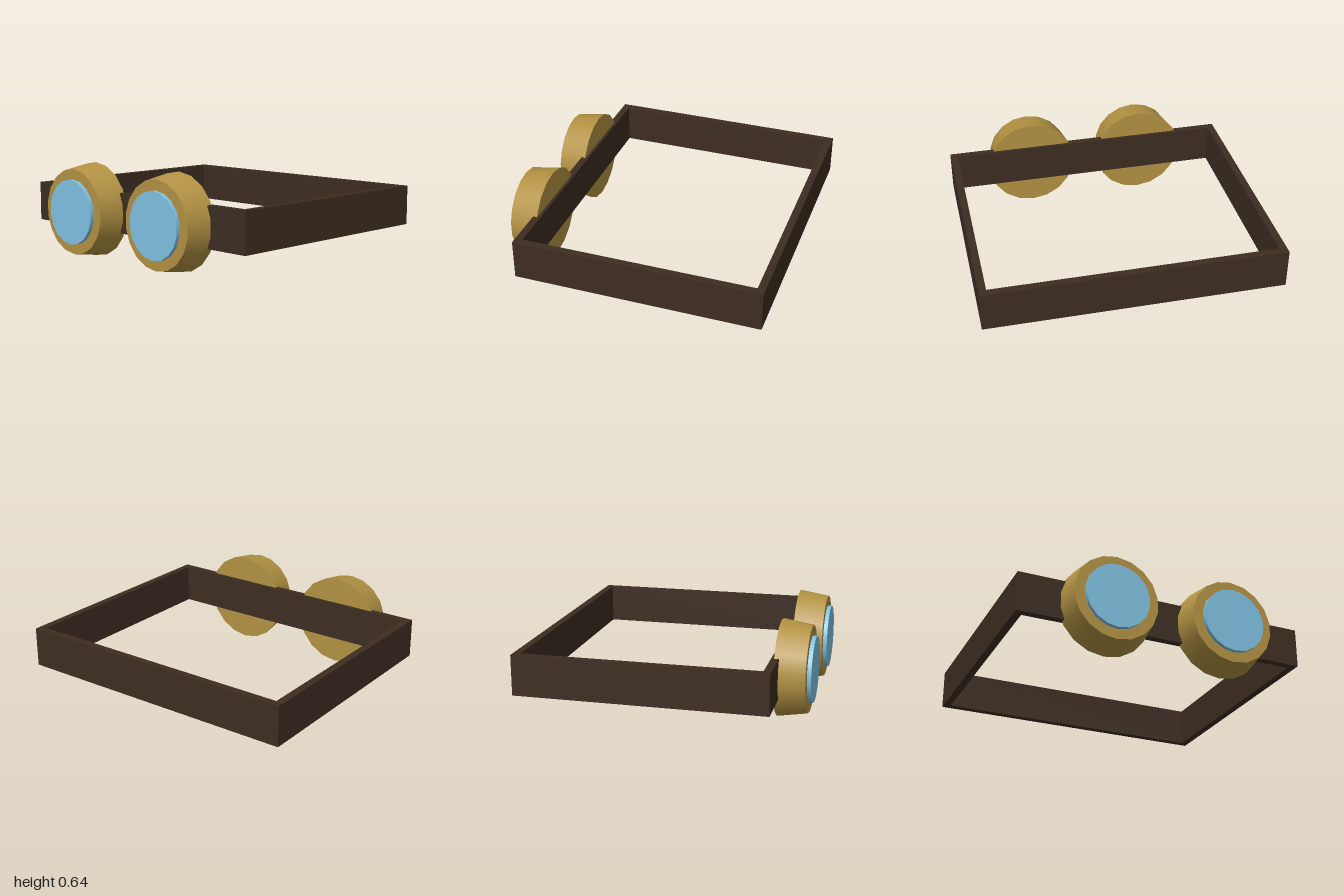
import * as THREE from 'three';

const material = (color) => new THREE.MeshStandardMaterial({ color });

// Closed drum lying along z, from the back plane to the front plane
function drum(name, frontRadius, backRadius, back, front, mat) {
  const geometry = new THREE.CylinderGeometry(frontRadius, backRadius, front - back, 18);
  geometry.rotateX(Math.PI / 2);
  geometry.scale(0.985, 1, 1);
  const mesh = new THREE.Mesh(geometry, mat);
  mesh.name = name;
  mesh.position.z = (front + back) / 2;
  return mesh;
}

export function createModel() {
  const model = new THREE.Group();
  model.name = 'goggles';
  const leather = material(0x3d2d22);
  const brass = material(0xb39243);
  const glass = material(0x80c2e2);

  // Rectangular strap: a thin frame extruded upward
  const rectangle = (x, front, back) => [
    new THREE.Vector2(-x, -front), new THREE.Vector2(x, -front),
    new THREE.Vector2(x, -back), new THREE.Vector2(-x, -back),
  ];
  const outline = new THREE.Shape(rectangle(1, 0.73, -0.93));
  outline.holes.push(new THREE.Path(rectangle(0.95, 0.68, -0.88)));
  const strapGeometry = new THREE.ExtrudeGeometry(outline, { depth: 0.27, bevelEnabled: false });
  strapGeometry.rotateX(-Math.PI / 2);
  const strap = new THREE.Mesh(strapGeometry, leather);
  strap.name = 'strap';
  strap.position.y = 0.19;
  model.add(strap);

  // Tapered eyepieces, each with a raised lens
  for (const [name, side] of [['leftEyepiece', 1], ['rightEyepiece', -1]]) {
    const eyepiece = new THREE.Group();
    eyepiece.name = name;
    eyepiece.position.set(side * 0.407, 0.323, 0);
    eyepiece.add(drum('rim', 0.288, 0.32, 0.70, 0.90, brass));
    eyepiece.add(drum('lens', 0.219, 0.219, 0.72, 0.927, glass));
    model.add(eyepiece);
  }
  return model;
}
